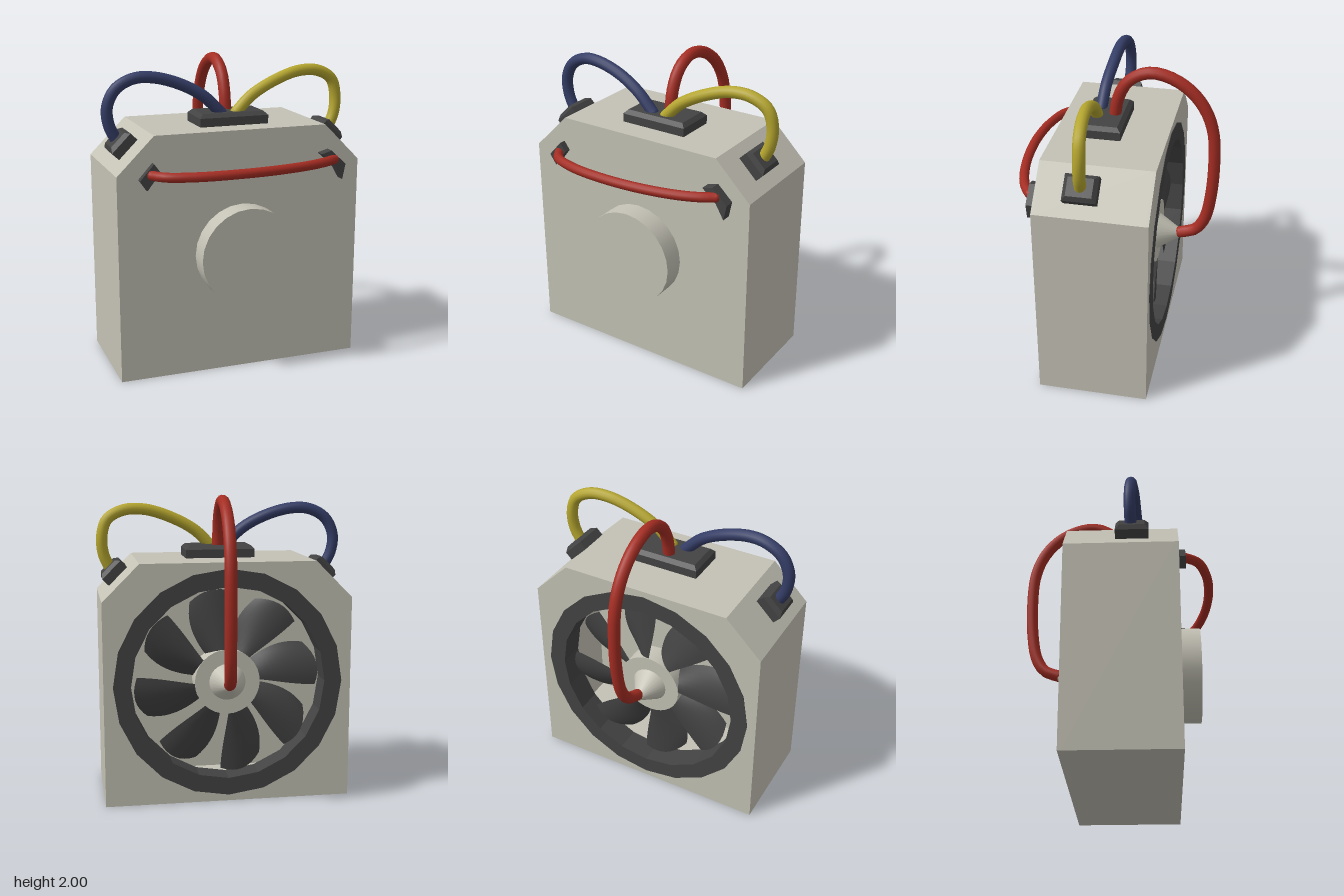
import * as THREE from 'three';

const mat = (name, color, side = THREE.FrontSide) => {
  const m = new THREE.MeshStandardMaterial({ color, side });
  m.name = name;
  return m;
};

export function createModel() {
  const casing = mat('casing grey', 0xc4c2b5);
  const dark = mat('dark rubber', 0x434343, THREE.DoubleSide);
  const red = mat('red cable', 0xa52d23);
  const blue = mat('blue cable', 0x343d66);
  const yellow = mat('yellow cable', 0xb5a62f);

  const model = new THREE.Group();
  model.name = 'fanPack';

  const add = (name, geometry, material, parent = model) => {
    const mesh = new THREE.Mesh(geometry, material);
    mesh.name = name;
    parent.add(mesh);
    return mesh;
  };
  const extrude = (shape, z0, z1, options = {}) => {
    const g = new THREE.ExtrudeGeometry(shape, { depth: z1 - z0, bevelEnabled: false, curveSegments: 24, ...options });
    return g.translate(0, 0, z0);
  };
  const polygon = (pts) => new THREE.Shape(pts.map(([x, y]) => new THREE.Vector2(x, y)));

  // Casing: hollow box with two cut upper corners
  const outline = (t = 0) => {
    const c = t * 0.41; // keeps the sloped walls equally thick
    const half = [[0.81 - t, t], [0.81 - t, 1.34 - c], [0.57 - c, 1.58 - t]];
    return polygon([...half, ...half.map(([x, y]) => [-x, y]).reverse()]);
  };
  const FAN_Y = 0.79;
  const walls = outline();
  walls.holes.push(outline(0.02));
  const backPlate = outline();
  backPlate.holes.push(new THREE.Path().absarc(0, FAN_Y, 0.74, 0, Math.PI * 2, true));
  add('frontPanel', extrude(outline(), 0.38, 0.4), casing);
  add('sideWalls', extrude(walls, -0.295, 0.38), casing);
  add('backPanel', extrude(backPlate, -0.315, -0.295), casing);

  // Round boss on the front
  const boss = new THREE.CylinderGeometry(0.316, 0.316, 0.14, 24).rotateX(Math.PI / 2);
  add('frontBoss', boss, casing).position.set(0.005, FAN_Y, 0.47);

  // Fan, built facing +z and turned to the back
  const fan = new THREE.Group();
  fan.name = 'fan';
  fan.position.set(0, FAN_Y, -0.25);
  fan.rotation.y = Math.PI;
  model.add(fan);

  const ringShape = new THREE.Shape().absarc(0, 0, 0.75, 0, Math.PI * 2, false);
  ringShape.holes.push(new THREE.Path().absarc(0, 0, 0.635, 0, Math.PI * 2, true));
  add('fanRing', extrude(ringShape, -0.1, 0.068, { curveSegments: 10 }), dark, fan);

  const hub = new THREE.CylinderGeometry(0.215, 0.215, 0.14, 32).rotateX(Math.PI / 2);
  add('fanHub', hub, casing, fan).position.z = -0.07;
  const cone = new THREE.CylinderGeometry(0.02, 0.12, 0.16, 24).rotateX(Math.PI / 2);
  add('hubCone', cone, casing, fan).position.z = 0.08;

  // Blade: a sheet that widens, sweeps and twists outward
  const blade = new THREE.PlaneGeometry(2, 1, 8, 10);
  const p = blade.attributes.position;
  for (let i = 0; i < p.count; i++) {
    const s = p.getX(i), t = p.getY(i) + 0.5;
    const radius = 0.19 + 0.42 * t - 0.05 * t * s * s;
    const halfWidth = 0.06 + 0.085 * Math.sin(t * Math.PI * 0.55);
    const across = s * halfWidth + 0.07 * t * t - 0.02;
    p.setXYZ(i, across, radius, -0.06 + 0.055 * s * (1 - 0.3 * t) + 0.03 * (1 - s * s));
  }
  blade.computeVertexNormals();
  for (let i = 0; i < 8; i++) {
    add('fanBlade', blade, dark, fan).rotation.z = (i + 0.33) * Math.PI / 4;
  }

  // Bevelled sockets; the lower bevel is sunk in the casing
  const socket = (name, w, d, h, bevel) => {
    const x = w / 2 - bevel, z = d / 2 - bevel;
    const g = extrude(polygon([[-x, -z], [x, -z], [x, z], [-x, z]]), -0.02, h - bevel, {
      bevelEnabled: true, bevelSize: bevel, bevelThickness: bevel, bevelSegments: 1,
    });
    return add(name, g.rotateX(-Math.PI / 2), dark);
  };
  socket('topSocket', 0.46, 0.27, 0.08, 0.025).position.set(0.01, 1.58, 0.105);
  for (const side of [-1, 1]) {
    const s = socket('sideSocket', 0.17, 0.21, 0.085, 0.025);
    s.position.set(side * 0.685, 1.465, 0.11);
    s.rotation.z = -side * Math.PI / 4;
  }

  // Small clips holding the front cable
  add('rightClip', extrude(polygon([[-0.675, 1.315], [-0.63, 1.25], [-0.545, 1.36], [-0.585, 1.415]]), 0.4, 0.445), dark);
  add('leftClip', extrude(polygon([[0.52, 1.4], [0.615, 1.32], [0.67, 1.225], [0.69, 1.325], [0.59, 1.42]]), 0.4, 0.465), dark);

  // Cables
  const cable = (name, radius, material, pts) => {
    const curve = new THREE.CatmullRomCurve3(pts.map((q) => new THREE.Vector3(...q)));
    add(name, new THREE.TubeGeometry(curve, 40, radius, 12), material);
    for (const q of [pts[0], pts[pts.length - 1]]) {
      add(name + 'End', new THREE.SphereGeometry(radius, 12, 8), material).position.set(...q);
    }
  };
  cable('frontCable', 0.031, red, [
    [-0.6, 1.345, 0.44], [-0.54, 1.346, 0.52], [-0.36, 1.348, 0.585], [-0.1, 1.352, 0.612],
    [0.17, 1.354, 0.598], [0.4, 1.357, 0.555], [0.54, 1.36, 0.505], [0.61, 1.36, 0.46],
  ]);
  cable('rightCable', 0.038, blue, [
    [-0.72, 1.49, 0.105], [-0.775, 1.6, 0.1], [-0.785, 1.72, 0.1], [-0.73, 1.83, 0.105], [-0.62, 1.89, 0.11],
    [-0.5, 1.895, 0.12], [-0.33, 1.85, 0.13], [-0.17, 1.765, 0.145], [-0.05, 1.65, 0.152],
  ]);
  cable('leftCable', 0.038, yellow, [
    [0.05, 1.65, 0.155], [0.16, 1.755, 0.15], [0.33, 1.845, 0.14], [0.5, 1.895, 0.125], [0.64, 1.89, 0.115],
    [0.745, 1.83, 0.105], [0.78, 1.72, 0.1], [0.77, 1.6, 0.105], [0.72, 1.49, 0.11],
  ]);
  cable('backCable', 0.039, red, [
    [0.015, 1.63, 0.05], [0.016, 1.76, 0.03], [0.018, 1.875, -0.025], [0.02, 1.94, -0.11], [0.024, 1.961, -0.2],
    [0.028, 1.93, -0.33], [0.032, 1.85, -0.45], [0.036, 1.73, -0.54], [0.038, 1.58, -0.59], [0.04, 1.35, -0.604],
    [0.038, 1.12, -0.592], [0.032, 0.95, -0.56], [0.022, 0.85, -0.5], [0.01, 0.805, -0.4],
  ]);

  return model;
}
